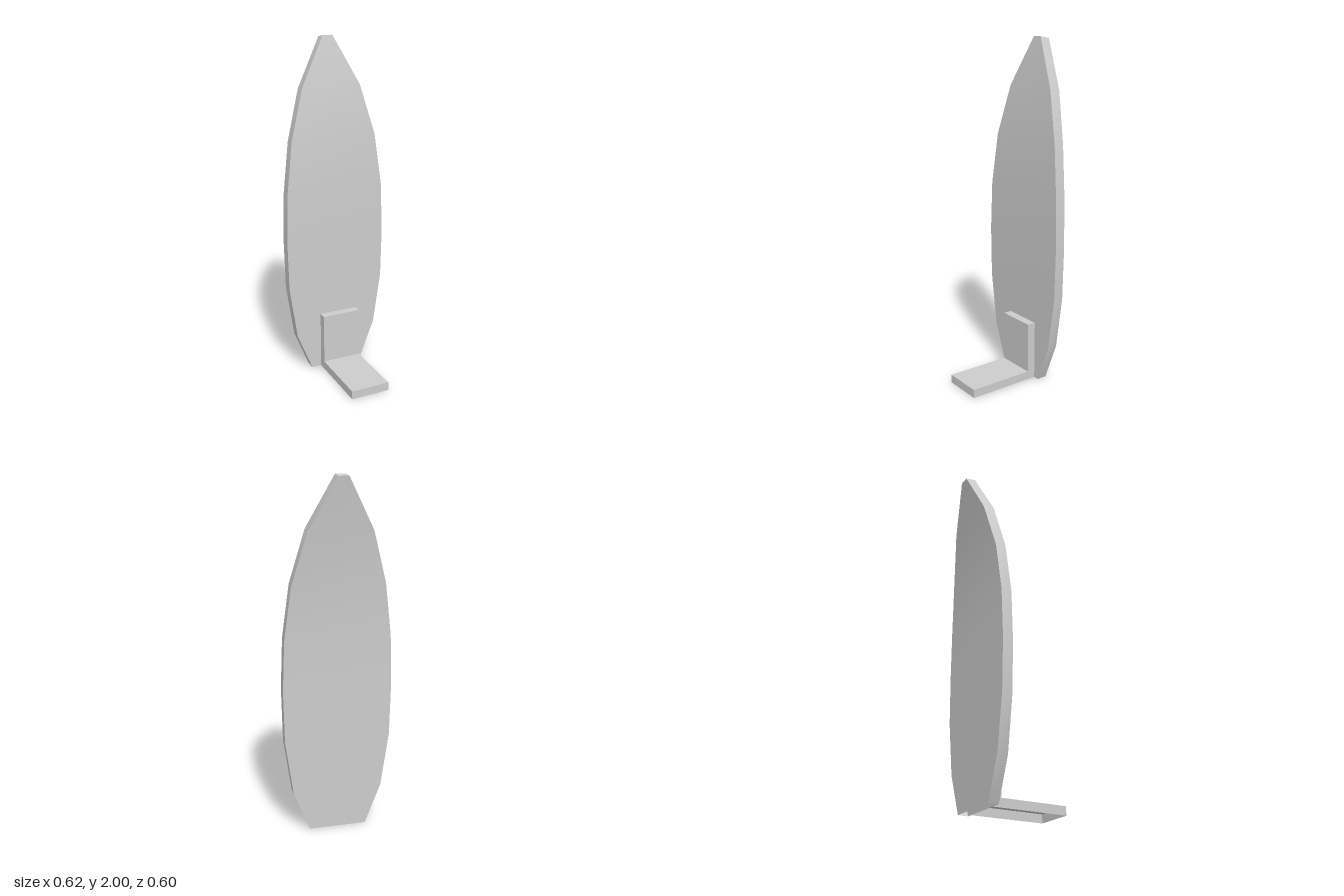
import * as THREE from 'three';
import { mergeGeometries } from 'three/addons/utils/BufferGeometryUtils.js';

// Board stations from tail to nose: [front y, half width, front z, back y, back z]
const STATIONS = [
  [0, 0.165, -0.14, 0, -0.2],
  [0.23, 0.257, -0.14, 0.23, -0.2],
  [0.54, 0.303, -0.14, 0.54, -0.2],
  [0.84, 0.31, -0.14, 0.84, -0.2],
  [1.13, 0.3, -0.143, 1.125, -0.204],
  [1.43, 0.262, -0.158, 1.42, -0.219],
  [1.72, 0.18, -0.19, 1.71, -0.255],
  [2.0, 0.03, -0.24, 1.99, -0.3],
];

// Smooth band of quads between rows of [left point, right point]
function strip(rows) {
  const index = [];
  for (let i = 0; i < rows.length - 1; i++) {
    const a = 2 * i;
    index.push(a, a + 1, a + 3, a, a + 3, a + 2);
  }
  const g = new THREE.BufferGeometry();
  g.setAttribute('position', new THREE.Float32BufferAttribute(rows.flat(2), 3));
  g.setIndex(index);
  g.computeVertexNormals();
  return g;
}

// Curved board: front, two rails, back and nose tip; the tail end is open
function boardGeometry() {
  const rings = STATIONS.map(([fy, w, fz, by, bz]) => [
    [-w, fy, fz], [w, fy, fz], [w, by, bz], [-w, by, bz],
  ]);
  const parts = [0, 1, 2, 3].map((k) => strip(rings.map((r) => [r[k], r[(k + 1) % 4]])));
  const tip = rings[rings.length - 1];
  parts.push(strip([[tip[0], tip[1]], [tip[3], tip[2]]]));
  return mergeGeometries(parts);
}

// L-shaped bracket, open underneath and against the board
function standGeometry(x0, x1) {
  const path = [[0.3, 0], [0.3, 0.05], [-0.09, 0.05], [-0.09, 0.35], [-0.14, 0.35]];
  const row = ([z, y]) => [[x0, y, z], [x1, y, z]];
  const parts = [];
  for (let i = 0; i < path.length - 1; i++) parts.push(strip([row(path[i]), row(path[i + 1])]));
  // side walls
  for (const [x, s] of [[x0, 1], [x1, -1]]) {
    const outline = [...path, [-0.14, 0]].map(([z, y]) => new THREE.Vector2(s * z, y));
    const side = new THREE.ShapeGeometry(new THREE.Shape(outline));
    side.rotateY(-s * Math.PI / 2).translate(x, 0, 0);
    side.deleteAttribute('uv');
    parts.push(side);
  }
  return mergeGeometries(parts);
}

export function createModel() {
  const grey = new THREE.MeshStandardMaterial({ color: 0xcccccc });
  grey.name = 'light grey';
  grey.side = THREE.DoubleSide;

  const group = new THREE.Group();
  group.name = 'surfboardOnStand';
  const add = (name, geometry) => {
    const mesh = new THREE.Mesh(geometry, grey);
    mesh.name = name;
    group.add(mesh);
  };
  add('board', boardGeometry());
  add('stand', standGeometry(-0.105, 0.131));
  return group;
}
